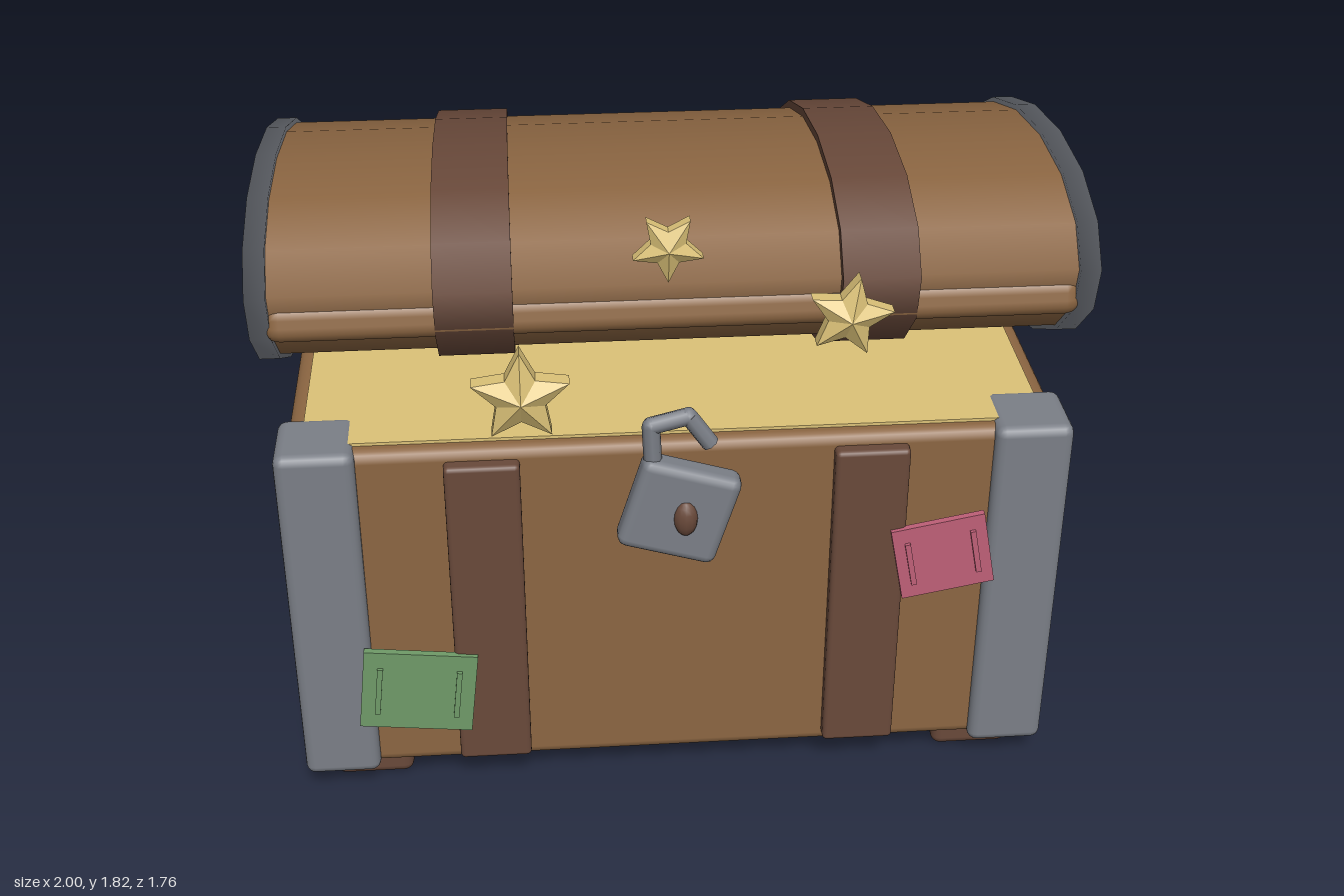
import * as THREE from 'three';
import { mergeVertices } from 'three/addons/utils/BufferGeometryUtils.js';
import { RoundedBoxGeometry } from 'three/addons/geometries/RoundedBoxGeometry.js';

const mat = (name, color) => {
  const m = new THREE.MeshStandardMaterial({ color });
  m.name = name;
  return m;
};

export function createModel() {
  const root = new THREE.Group();
  root.name = 'treasureChest';
  const leather = mat('brown leather', 0x8c6642);
  const dark = mat('dark brown strap', 0x69493a);
  const metal = mat('grey metal', 0x7b7f87);
  const gold = mat('gold', 0xdcc278);
  const green = mat('green', 0x6f9a68);
  const pink = mat('pink', 0xbf6078);

  const add = (parent, name, geo, material, x = 0, y = 0, z = 0) => {
    const m = new THREE.Mesh(geo, material);
    m.name = name;
    m.position.set(x, y, z);
    parent.add(m);
    return m;
  };
  const box = (w, h, d, r) => new RoundedBoxGeometry(w, h, d, 2, r);

  // Chest body, its glowing filling, corner posts, feet and front straps
  add(root, 'body', box(1.9, 0.96, 1.26, 0.03), leather, 0, 0.56, -0.17);
  add(root, 'goldFilling', new THREE.BoxGeometry(1.82, 0.05, 1.18), gold, 0, 1.023, -0.17);
  for (const s of [-1, 1]) {
    for (const z of [0.388, -0.728]) {
      add(root, 'cornerPost', box(0.195, 0.98, 0.195, 0.025), metal, s * 0.878, 0.56, z);
    }
    for (const z of [0.308, -0.645]) {
      add(root, 'foot', box(0.205, 0.11, 0.205, 0.025), dark, s * 0.803, 0.055, z);
    }
    add(root, 'bodyStrap', box(0.185, 0.9, 0.06, 0.012), dark, s * 0.477, 0.56, 0.465);
  }

  // Open lid: oval drum tilted up at the front
  const lid = new THREE.Group();
  lid.name = 'lid';
  lid.position.set(0, 1.31, -0.21);
  lid.rotation.x = -13 * Math.PI / 180;
  root.add(lid);
  const drum = (width, height, depth) =>
    new THREE.CylinderGeometry(1, 1, width, 16).rotateZ(-Math.PI / 2).scale(1, height, depth);
  add(lid, 'lidShell', drum(1.92, 0.267, 0.665), leather);
  add(lid, 'lidRim', box(1.94, 0.1, 1.3, 0.04), leather, 0, -0.07, 0);
  for (const s of [-1, 1]) {
    add(lid, 'lidStrap', drum(0.184, 0.288, 0.692), dark, s * 0.477);
    // End caps with soft shared normals
    let cap = drum(0.05, 0.28, 0.68);
    cap.deleteAttribute('normal');
    cap.deleteAttribute('uv');
    cap = mergeVertices(cap);
    cap.computeVertexNormals();
    add(lid, 'lidEndCap', cap, metal, s * 0.975);
  }

  // Open padlock
  const lock = new THREE.Group();
  lock.name = 'padlock';
  lock.position.set(-0.005, 0.908, 0.548);
  root.add(lock);
  add(lock, 'lockBody', box(0.25, 0.25, 0.075, 0.025), metal).rotation.z = -0.3;
  add(lock, 'keyhole', new THREE.SphereGeometry(1, 12, 8).scale(0.03, 0.048, 0.025), dark, 0.014, -0.008, 0.034);
  const pts = [[-0.06, 0.08], [-0.067, 0.235], [0.022, 0.258], [0.075, 0.18]]
    .map(([x, y]) => new THREE.Vector3(x, y, 0));
  for (let i = 0; i < 3; i++) {
    const bar = add(lock, 'shackle', new THREE.CylinderGeometry(0.022, 0.022, pts[i].distanceTo(pts[i + 1]), 8), metal);
    bar.position.lerpVectors(pts[i], pts[i + 1], 0.5);
    bar.quaternion.setFromUnitVectors(new THREE.Vector3(0, 1, 0), pts[i + 1].clone().sub(pts[i]).normalize());
    if (i) add(lock, 'shackleJoint', new THREE.SphereGeometry(0.022, 8, 6), metal, pts[i].x, pts[i].y, 0);
  }

  // Paper tags with two raised ribs
  const tag = (name, material, x, y, w, h, turn) => {
    const g = new THREE.Group();
    g.name = name;
    g.position.set(x, y, 0.497);
    g.rotation.z = turn;
    root.add(g);
    add(g, 'tagSheet', new THREE.BoxGeometry(w, h, 0.018), material);
    for (const s of [-1, 1]) {
      add(g, 'tagRib', new THREE.BoxGeometry(0.014, h * 0.6, 0.012), material, s * w * 0.35, 0, 0.012);
    }
  };
  tag('greenTag', green, -0.666, 0.348, 0.288, 0.237, -0.11);
  tag('pinkTag', pink, 0.665, 0.698, 0.237, 0.208, 0.19);

  // Floating stars: five points, ridged on both faces
  const starGeometry = (r) => {
    const p = [];
    const rim = (i, z) => {
      const a = Math.PI / 2 + i * Math.PI / 5, q = i % 2 ? r * 0.5 : r;
      return [Math.cos(a) * q, Math.sin(a) * q, z];
    };
    const t = r * 0.17, peak = r * 0.46;
    for (let i = 0; i < 10; i++) {
      const a = rim(i, t), b = rim(i + 1, t), c = rim(i, -t), d = rim(i + 1, -t);
      p.push(...a, ...b, 0, 0, peak, ...d, ...c, 0, 0, -peak);
      p.push(...a, ...c, ...b, ...b, ...c, ...d);
    }
    const g = new THREE.BufferGeometry();
    g.setAttribute('position', new THREE.Float32BufferAttribute(p, 3));
    g.computeVertexNormals();
    return g;
  };
  const stars = [
    [-0.375, 1.335, 0.707, 0.116, 0],
    [0.345, 1.55, 0.782, 0.097, -0.2],
    [-0.055, 1.757, 0.836, 0.078, Math.PI / 5],
  ];
  for (const [x, y, z, r, turn] of stars) {
    add(root, 'star', starGeometry(r), gold, x, y, z).rotation.z = turn;
  }
  return root;
}
